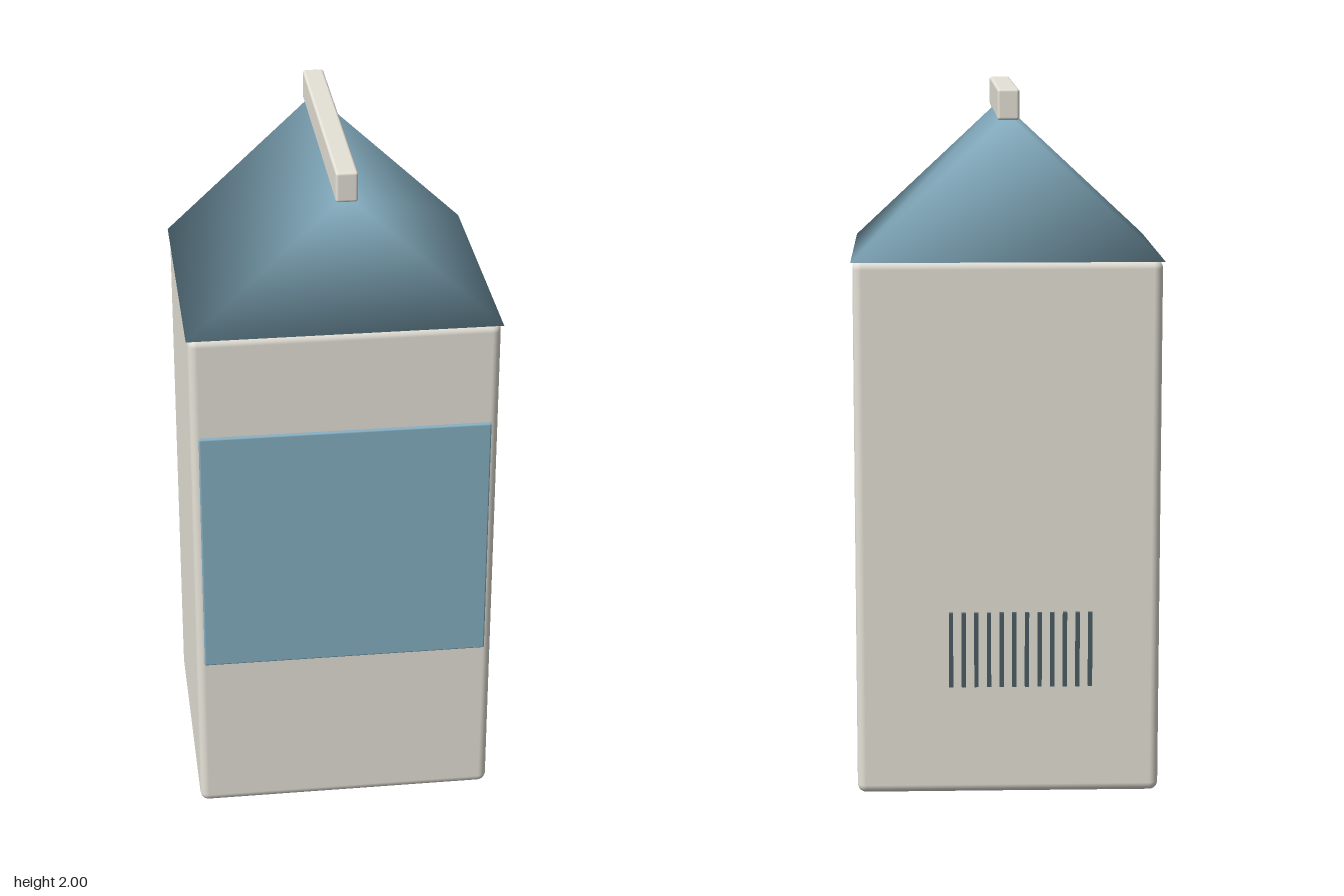
import * as THREE from 'three';
import { RoundedBoxGeometry } from 'three/addons/geometries/RoundedBoxGeometry.js';

const cream = new THREE.MeshStandardMaterial({ color: 0xe6e2d8 });
const blue = new THREE.MeshStandardMaterial({ color: 0x86afc2 });
const slate = new THREE.MeshStandardMaterial({ color: 0x4c5d64 });

// Rounded box given by its lower and upper corners
function block(name, min, max, radius, material) {
  const size = max.map((v, i) => v - min[i]);
  const mesh = new THREE.Mesh(new RoundedBoxGeometry(...size, 3, radius), material);
  mesh.position.set(...max.map((v, i) => (v + min[i]) / 2));
  mesh.name = name;
  return mesh;
}

// Closed gable prism whose six corners share smooth normals
function gableGeometry(halfWidth, base, ridge, back, front) {
  const points = [back, front].flatMap((z) => [-halfWidth, base, z, halfWidth, base, z, 0, ridge, z]);
  const geometry = new THREE.BufferGeometry();
  geometry.setAttribute('position', new THREE.Float32BufferAttribute(points, 3));
  geometry.setIndex([
    0, 2, 1, 3, 4, 5, // back and front gables
    1, 2, 5, 1, 5, 4, // left slope
    0, 3, 5, 0, 5, 2, // right slope
    0, 1, 4, 0, 4, 3, // underside
  ]);
  geometry.computeVertexNormals();
  return geometry;
}

export function createModel() {
  const carton = new THREE.Group();
  carton.name = 'carton';

  carton.add(block('body', [-0.43, 0, -0.383], [0.43, 1.53, 0.383], 0.025, cream));

  const roof = new THREE.Mesh(gableGeometry(0.435, 1.525, 1.93, -0.385, 0.382), blue);
  roof.name = 'gableRoof';
  carton.add(roof);

  carton.add(block('ridgeSeal', [-0.03, 1.915, -0.397], [0.03, 2, 0.395], 0.008, cream));
  carton.add(block('frontPanel', [-0.408, 0.49, 0.373], [0.408, 1.23, 0.393], 0.005, blue));

  // Row of thin raised bars low on the back
  const bars = new THREE.Group();
  bars.name = 'backBars';
  for (let i = 0; i < 12; i++) {
    const bar = new THREE.Mesh(new THREE.BoxGeometry(0.012, 0.215, 0.014), slate);
    bar.position.set(-0.232 + i * 0.0358, 0.425, -0.39);
    bar.name = 'backBar';
    bars.add(bar);
  }
  carton.add(bars);

  return carton;
}
